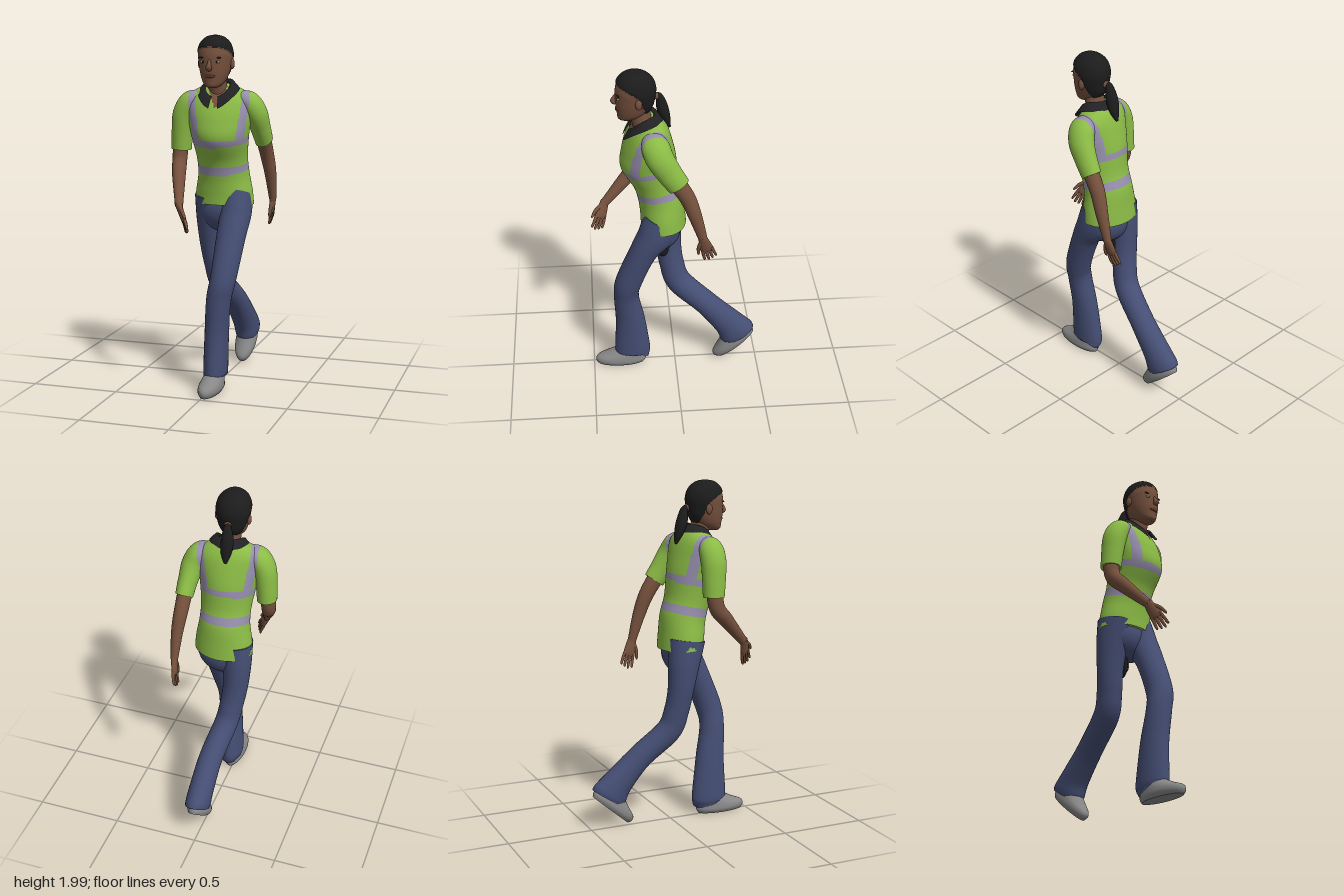
import * as THREE from 'three';

const V3 = (x, y, z) => new THREE.Vector3(x, y, z);
const mat = (name, color) => Object.assign(new THREE.MeshStandardMaterial({ color }), { name });
const M = {
  vest: mat('vest green', 0x8bbb45), tape: mat('reflective tape', 0x978fae), skin: mat('skin', 0x76513d),
  denim: mat('trouser blue', 0x454e74), shoe: mat('shoe grey', 0x878787), black: mat('hair black', 0x1d1c1d),
  collar: mat('collar black', 0x222124), lip: mat('lip', 0x673a30), eye: mat('eye white', 0xb5aca4),
};
M.collar.side = THREE.DoubleSide;

const spline = (a, b, c, d, t) =>
  0.5 * (2 * b + (c - a) * t + (2 * a - 5 * b + 4 * c - d) * t * t + (3 * b - a - 3 * c + d) * t * t * t);

// Smooth closed skin through elliptical sections [x, y, z, halfWidth, halfDepth, yaw, pitch].
// With yaw/pitch the rings are set explicitly (listed bottom to top), else they stand across the path.
function loft(parent, name, secs, mats, { cols = 28, rows = 28, paint, shape } = {}) {
  const at = (u) => {
    const f = Math.min(Math.max(u, 0), 1) * (secs.length - 1), i = Math.min(Math.floor(f), secs.length - 2);
    const s = (k) => secs[Math.min(Math.max(k, 0), secs.length - 1)];
    return secs[0].map((_, k) => spline(s(i - 1)[k], s(i)[k], s(i + 1)[k], s(i + 2)[k], f - i));
  };
  const rings = [];
  for (let i = 0; i <= rows; i++) {
    const u = i / rows, [x, y, z, a, b, yaw, pitch] = at(u), c = V3(x, y, z);
    let U = V3(1, 0, 0), W = V3(0, 0, 1);
    if (yaw !== undefined) {
      const e = new THREE.Euler(pitch * Math.PI / 180, yaw * Math.PI / 180, 0, 'YXZ');
      U.applyEuler(e); W.applyEuler(e);
    } else {
      const T = V3(...at(u + 0.01)).sub(V3(...at(u - 0.01))).normalize();
      W.addScaledVector(T, -W.dot(T)).normalize();
      U = T.clone().cross(W);
    }
    const ring = [];
    for (let j = 0; j < cols; j++) {
      const q = j / cols * Math.PI * 2;
      const p = c.clone().addScaledVector(U, a * Math.cos(q)).addScaledVector(W, b * Math.sin(q));
      if (shape) shape(p);
      ring.push(p);
    }
    rings.push(ring);
  }
  // flat end caps with their own vertices
  const mid = (r) => { const c = V3(0, 0, 0); r.forEach((p) => c.addScaledVector(p, 1 / cols)); return r.map(() => c); };
  const all = [mid(rings[0]), rings[0], ...rings, rings[rows], mid(rings[rows])];
  const many = Array.isArray(mats), buckets = many ? mats.map(() => []) : [[]];
  for (let i = 0; i < all.length - 1; i++) {
    if (i === 1 || i === all.length - 3) continue;
    for (let j = 0; j < cols; j++) {
      const k = (j + 1) % cols, a = i * cols + j, d = i * cols + k;
      const centre = all[i][j].clone().add(all[i + 1][k]).multiplyScalar(0.5);
      buckets[many ? paint(centre) : 0].push(a, a + cols, d, a + cols, d + cols, d);
    }
  }
  const g = new THREE.BufferGeometry().setFromPoints(all.flat());
  g.setIndex(buckets.flat());
  let start = 0;
  if (many) buckets.forEach((b, i) => { g.addGroup(start, b.length, i); start += b.length; });
  g.computeVertexNormals();
  return add(parent, name, g, mats);
}

function add(parent, name, geo, material) {
  const m = new THREE.Mesh(geo, material);
  m.name = name;
  parent.add(m);
  return m;
}

function blob(parent, name, material, pos, size) {
  const m = add(parent, name, new THREE.SphereGeometry(1, 24, 16), material);
  m.position.set(...pos);
  m.scale.set(...size);
  return m;
}

// Vest colours: 0 cloth, 1 tape, 2 open neck
const TWIST = 10 * Math.PI / 180;
function strap(p) {
  const t = p.y + 0.2 * (p.z - 0.09);
  const x = (p.x - 0.01) * Math.cos(TWIST) - (p.z - 0.15) * Math.sin(TWIST);
  const c = 0.118 + 0.032 * THREE.MathUtils.clamp((t - 1.44) / 0.22, 0, 1);
  return t > 1.44 && Math.abs(Math.abs(x) - c) < 0.021;
}
function vestPaint(p) {
  const t = p.y + 0.2 * (p.z - 0.09);
  if (p.z > 0.2 && p.y > 1.6 && Math.abs(p.x - 0.018) < (p.y - 1.595) * 0.5) return 2;
  return (t > 1.243 && t < 1.291) || (t > 1.42 && t < 1.461) || strap(p) ? 1 : 0;
}

// Hand hanging along local -y, thumb toward +z
function hand(parent, name, wrist, dir, wide) {
  const g = new THREE.Group();
  g.name = name;
  const Y = V3(...dir).normalize().negate(), Z = V3(...wide);
  Z.addScaledVector(Y, -Z.dot(Y)).normalize();
  g.setRotationFromMatrix(new THREE.Matrix4().makeBasis(Y.clone().cross(Z), Y, Z));
  g.position.set(...wrist);
  loft(g, 'palm', [[0, 0.02, 0, 0.02, 0.024], [0, -0.03, 0, 0.017, 0.032], [0, -0.07, 0, 0.014, 0.036], [0, -0.09, 0, 0.009, 0.032]],
    M.skin, { cols: 16, rows: 9 });
  for (let i = 0; i < 4; i++) {
    const s = i - 1.5, len = 0.082 - 0.009 * Math.abs(s - 0.3);
    loft(g, 'finger', [[0, -0.07, s * 0.018, 0.01, 0.01], [0, -0.08 - len * 0.5, s * 0.021, 0.009, 0.009],
      [-0.004, -0.08 - len * 0.95, s * 0.023, 0.007, 0.007], [-0.004, -0.084 - len, s * 0.023, 0.002, 0.002]], M.skin, { cols: 8, rows: 8 });
  }
  loft(g, 'thumb', [[0, -0.01, 0.012, 0.013, 0.014], [0, -0.05, 0.042, 0.011, 0.011], [0, -0.088, 0.054, 0.008, 0.008], [0, -0.1, 0.056, 0.002, 0.002]],
    M.skin, { cols: 10, rows: 9 });
  parent.add(g);
}

function shoe(parent, name, pos, pitch) {
  const m = loft(parent, name, [[0, 0, 0, 0.05, 0.143, 0, 0], [0, 0.022, 0, 0.063, 0.154, 0, 0], [0, 0.05, -0.004, 0.062, 0.147, 0, 0],
    [0, 0.078, -0.035, 0.055, 0.113, 0, 0], [0, 0.115, -0.07, 0.043, 0.075, 0, 0]], M.shoe, { cols: 32, rows: 16 });
  m.position.set(...pos);
  m.rotation.x = pitch;
}

// Fold-over collar, open at the front
function collar(parent) {
  const pos = [], idx = [], n = 48;
  for (let i = 0; i <= n; i++) {
    const q = 0.22 + (Math.PI * 2 - 0.44) * i / n, s = Math.sin(q), c = Math.cos(q);
    const lift = 0.03 * s * s, flap = 0.025 * Math.max(0, c) ** 4;
    pos.push(0.01 + 0.062 * s, 1.69 - 0.045 * c + lift, 0.178 + 0.06 * c,
      0.01 + 0.08 * s, 1.708 - 0.045 * c + lift, 0.178 + 0.078 * c,
      0.01 + 0.118 * s, 1.665 - 0.045 * c + lift - flap, 0.178 + 0.113 * c);
    if (i < n) for (let k = 0; k < 2; k++) {
      const a = i * 3 + k;
      idx.push(a, a + 1, a + 3, a + 1, a + 4, a + 3);
    }
  }
  const g = new THREE.BufferGeometry();
  g.setAttribute('position', new THREE.Float32BufferAttribute(pos, 3));
  g.setIndex(idx);
  g.computeVertexNormals();
  add(parent, 'collar', g, M.collar);
}

const isHair = (p) => {
  const d = p.y - 1.86;
  return p.z < (d > 0 ? 0.19 + 0.3 * d + 18 * d * d : 0.19 + 0.33 * d);
};

function head(parent) {
  const g = new THREE.Group();
  g.name = 'head';
  loft(g, 'skull', [[0.003, 1.712, 0.27, 0.022, 0.028, 0, 0], [0.003, 1.725, 0.258, 0.045, 0.054, 0, 0], [0.003, 1.755, 0.235, 0.066, 0.081, 0, 0],
    [0.003, 1.8, 0.222, 0.081, 0.1, 0, 0], [0.003, 1.85, 0.217, 0.09, 0.106, 0, 0], [0.003, 1.9, 0.214, 0.094, 0.108, 0, 0],
    [0.003, 1.95, 0.215, 0.08, 0.092, 0, 0], [0.003, 1.983, 0.217, 0.047, 0.055, 0, 0], [0.003, 1.993, 0.217, 0.012, 0.014, 0, 0]],
  [M.skin, M.black], {
    cols: 80, rows: 80, paint: (p) => (isHair(p) ? 1 : 0),
    shape: (p) => { if (isHair(p)) p.addScaledVector(p.clone().sub(V3(0.003, 1.87, 0.215)).normalize(), 0.006); },
  });
  loft(g, 'nose', [[0.003, 1.872, 0.312, 0.008, 0.008], [0.003, 1.845, 0.327, 0.01, 0.012], [0.003, 1.825, 0.334, 0.018, 0.015],
    [0.003, 1.811, 0.322, 0.012, 0.01]], M.skin, { cols: 16, rows: 12 });
  blob(g, 'mouth', M.lip, [0.003, 1.778, 0.312], [0.03, 0.01, 0.013]);
  for (const s of [-1, 1]) {
    blob(g, 'eye', M.eye, [0.003 + s * 0.041, 1.855, 0.308], [0.016, 0.007, 0.007]);
    blob(g, 'iris', M.black, [0.003 + s * 0.04, 1.855, 0.313], [0.006, 0.006, 0.004]);
    blob(g, 'eyebrow', M.black, [0.003 + s * 0.043, 1.878, 0.307], [0.023, 0.004, 0.007]);
    blob(g, 'ear', M.skin, [0.003 + s * 0.093, 1.842, 0.2], [0.012, 0.03, 0.019]);
  }
  blob(g, 'hairTie', M.skin, [0, 1.845, 0.1], [0.022, 0.02, 0.016]);
  loft(g, 'ponytail', [[0, 1.84, 0.115, 0.014, 0.014], [-0.004, 1.838, 0.085, 0.022, 0.02], [-0.008, 1.77, 0.068, 0.035, 0.032],
    [-0.008, 1.7, 0.047, 0.03, 0.024], [-0.01, 1.645, 0.028, 0.007, 0.007]], M.black);
  loft(g, 'neck', [[0.008, 1.6, 0.165, 0.06, 0.06, 0, 0], [0.008, 1.68, 0.178, 0.054, 0.056, 0, 0], [0.003, 1.79, 0.2, 0.052, 0.06, 0, 0]], M.skin);
  parent.add(g);
}

export function createModel() {
  const root = new THREE.Group();
  root.name = 'walkingWorker';

  // Torso
  loft(root, 'vest', [[0.01, 1.045, 0.067, 0.172, 0.13, -4, -2], [0.01, 1.12, 0.072, 0.165, 0.128, -2, 4], [0.01, 1.22, 0.082, 0.147, 0.13, 1, 11],
    [0.01, 1.32, 0.11, 0.145, 0.13, 5, 11], [0.01, 1.45, 0.15, 0.163, 0.158, 9, 11], [0.01, 1.55, 0.155, 0.18, 0.142, 10, 11],
    [0.008, 1.635, 0.152, 0.182, 0.115, 10, 11], [0.005, 1.69, 0.15, 0.14, 0.085, 10, 11], [0.005, 1.72, 0.155, 0.075, 0.06, 10, 11]],
  [M.vest, M.tape, M.skin], { cols: 112, rows: 112, paint: vestPaint });
  collar(root);
  head(root);

  // Arms: left swings back, right swings forward
  const sleevePaint = (p) => (p.y > 1.58 && strap(p) ? 1 : 0);
  const sleeveOpts = { cols: 56, rows: 48, paint: sleevePaint };
  loft(root, 'leftSleeve', [[0.1, 1.65, 0.13, 0.04, 0.05], [0.165, 1.63, 0.12, 0.06, 0.075], [0.2, 1.565, 0.095, 0.065, 0.077],
    [0.215, 1.48, 0.045, 0.056, 0.07], [0.222, 1.405, -0.005, 0.05, 0.064]], [M.vest, M.tape], sleeveOpts);
  loft(root, 'rightSleeve', [[-0.08, 1.65, 0.168, 0.04, 0.05], [-0.15, 1.63, 0.178, 0.06, 0.07], [-0.19, 1.56, 0.18, 0.065, 0.073],
    [-0.205, 1.46, 0.176, 0.06, 0.068], [-0.212, 1.36, 0.172, 0.057, 0.062]], [M.vest, M.tape], sleeveOpts);
  loft(root, 'leftArm', [[0.218, 1.45, 0.025, 0.043, 0.05], [0.225, 1.33, -0.05, 0.04, 0.045], [0.235, 1.21, -0.095, 0.034, 0.038],
    [0.238, 1.05, -0.142, 0.021, 0.025]], M.skin);
  loft(root, 'rightArm', [[-0.212, 1.42, 0.175, 0.045, 0.047], [-0.217, 1.3, 0.19, 0.041, 0.046], [-0.198, 1.22, 0.26, 0.037, 0.042],
    [-0.148, 1.07, 0.402, 0.021, 0.025]], M.skin);
  hand(root, 'leftHand', [0.238, 1.05, -0.142], [-0.025, -0.17, -0.055], [0, -0.3, 1]);
  hand(root, 'rightHand', [-0.148, 1.07, 0.402], [0.085, -0.17, 0.06], [0.35, 0.4, 0.8]);

  // Trousers: left leg leads, right leg trails
  blob(root, 'pelvis', M.denim, [0.01, 1.01, 0.075], [0.156, 0.13, 0.11]);
  loft(root, 'leftLeg', [[0.09, 1.1, 0.075, 0.085, 0.11], [0.092, 1.0, 0.115, 0.088, 0.105], [0.086, 0.88, 0.188, 0.083, 0.08],
    [0.068, 0.655, 0.277, 0.073, 0.078], [0.045, 0.53, 0.292, 0.07, 0.074], [0.028, 0.34, 0.272, 0.067, 0.088],
    [0.018, 0.12, 0.262, 0.066, 0.107], [0.018, 0.085, 0.262, 0.062, 0.102]], M.denim, { rows: 48 });
  loft(root, 'rightLeg', [[-0.075, 1.1, 0.07, 0.085, 0.11], [-0.078, 0.96, 0.05, 0.082, 0.094], [-0.074, 0.81, 0.033, 0.074, 0.076],
    [-0.058, 0.68, 0.013, 0.07, 0.073], [-0.038, 0.56, -0.03, 0.07, 0.075], [0, 0.415, -0.19, 0.07, 0.073],
    [0.014, 0.275, -0.322, 0.072, 0.09], [0.018, 0.205, -0.375, 0.073, 0.11], [0.018, 0.18, -0.392, 0.068, 0.106]], M.denim, { rows: 48 });
  blob(root, 'innerThighPatch', M.black, [-0.01, 0.855, 0.068], [0.02, 0.085, 0.042]);

  // Shoes
  shoe(root, 'leftShoe', [0.015, 0.004, 0.335], 0);
  shoe(root, 'rightShoe', [0.018, 0.106, -0.375], 0.72);
  return root;
}
